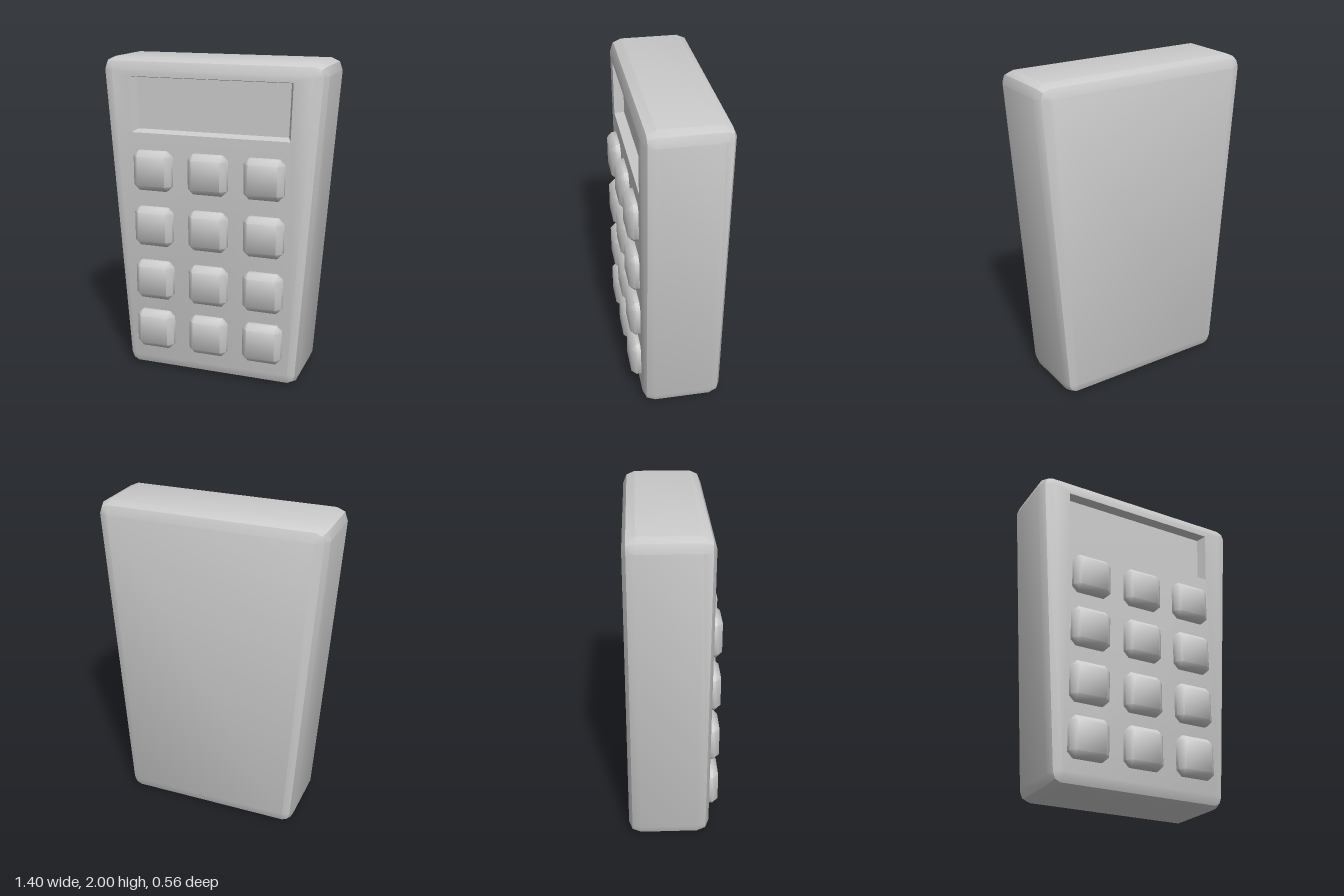
import * as THREE from 'three';
import { mergeGeometries, toCreasedNormals } from 'three/addons/utils/BufferGeometryUtils.js';

const material = new THREE.MeshStandardMaterial({ color: 0xcccccc });

// Rounded rectangle, counter-clockwise from the front: core corners pushed out by radius r.
function ring(coreX, coreY, r, segments, z, place) {
  const points = [];
  [[1, 1], [-1, 1], [-1, -1], [1, -1]].forEach(([sx, sy], corner) => {
    for (let i = 0; i <= segments; i++) {
      const a = (corner + i / segments) * Math.PI / 2;
      points.push(place(sx * coreX + r * Math.cos(a), sy * coreY + r * Math.sin(a), z));
    }
  });
  return points;
}

// Skin between consecutive rings, leaving out collapsed triangles.
function loft(rings) {
  const positions = [];
  const triangle = (...t) => {
    if (new THREE.Triangle(...t).getArea() > 1e-7) t.forEach((p) => positions.push(p.x, p.y, p.z));
  };
  for (let k = 0; k < rings.length - 1; k++) {
    const low = rings[k], high = rings[k + 1], n = low.length;
    for (let j = 0; j < n; j++) {
      const m = (j + 1) % n;
      triangle(low[j], low[m], high[m]);
      triangle(low[j], high[m], high[j]);
    }
  }
  const geometry = new THREE.BufferGeometry();
  geometry.setAttribute('position', new THREE.Float32BufferAttribute(positions, 3));
  return geometry;
}

// Flat face at the depth of its outline, facing the front or the back.
function cap(outline, hole, facingBack = false) {
  const shape = new THREE.Shape(outline.map((p) => new THREE.Vector2(p.x, p.y)));
  if (hole) shape.holes.push(new THREE.Path(hole.map((p) => new THREE.Vector2(p.x, p.y))));
  const geometry = new THREE.ShapeGeometry(shape);
  if (facingBack) geometry.setIndex(Array.from(geometry.index.array).reverse());
  const flat = geometry.toNonIndexed();
  flat.deleteAttribute('normal');
  flat.deleteAttribute('uv');
  return flat.translate(0, 0, outline[0].z);
}

function createBody() {
  const r = 0.075, back = -0.28, front = 0.22, segments = 2;
  // Stands on the ground and narrows towards the bottom.
  const taper = (x, y, z) => new THREE.Vector3(x * (0.565 + 0.07 * (y + 1)) / 0.7, y + 1, z);
  const levels = [];
  for (let i = 0; i <= segments; i++) {
    const a = (i / segments) * Math.PI / 2;
    levels.push([i ? r * Math.sin(a) : 0, back + r * (1 - Math.cos(a))]);
  }
  for (let i = segments; i >= 0; i--) {
    const a = (i / segments) * Math.PI / 2;
    levels.push([i ? r * Math.sin(a) : 0, front - r * (1 - Math.cos(a))]);
  }
  const rings = levels.map(([s, z]) => ring(0.7 - r, 1 - r, s, segments, z, taper));
  const corners = (points) => points.filter((p, i) => i % (segments + 1) === 0);

  // Display recess with sloping walls
  const quad = (list, z) => list.map(([x, y]) => new THREE.Vector3(x, y, z));
  const rim = quad([[0.51, 1.89], [-0.515, 1.89], [-0.505, 1.55], [0.5, 1.55]], front);
  const floor = quad([[0.485, 1.88], [-0.49, 1.88], [-0.48, 1.565], [0.475, 1.565]], front - 0.06);

  const geometry = mergeGeometries([
    loft(rings),
    cap(corners(rings[0]), null, true),
    cap(corners(rings[rings.length - 1]), rim),
    loft([rim, floor]),
    cap(floor),
  ]);
  const body = new THREE.Mesh(toCreasedNormals(geometry, Math.PI / 6), material);
  body.name = 'body';
  return body;
}

// Key with a single chamfer around its top and at its corners
function createKeyGeometry() {
  const half = 0.124, r = 0.034, top = 0.28;
  const place = (x, y, z) => new THREE.Vector3(x, y, z);
  const rings = [[r, 0.2], [r, top - r], [0, top]]
    .map(([s, z]) => ring(half - r, half - r, s, 1, z, place));
  const face = rings[2].filter((p, i) => i % 2 === 0);
  return toCreasedNormals(mergeGeometries([loft(rings), cap(face)]), Math.PI / 3);
}

export function createModel() {
  const model = new THREE.Group();
  model.name = 'calculator';
  model.add(createBody());

  // Keypad: four rows of three keys
  const keypad = new THREE.Group();
  keypad.name = 'keypad';
  const keyGeometry = createKeyGeometry();
  for (const y of [1.322, 0.968, 0.617, 0.283]) {
    for (const x of [-0.358, -0.003, 0.35]) {
      const key = new THREE.Mesh(keyGeometry, material);
      key.name = 'key';
      key.position.set(x, y, 0);
      keypad.add(key);
    }
  }
  model.add(keypad);
  return model;
}
